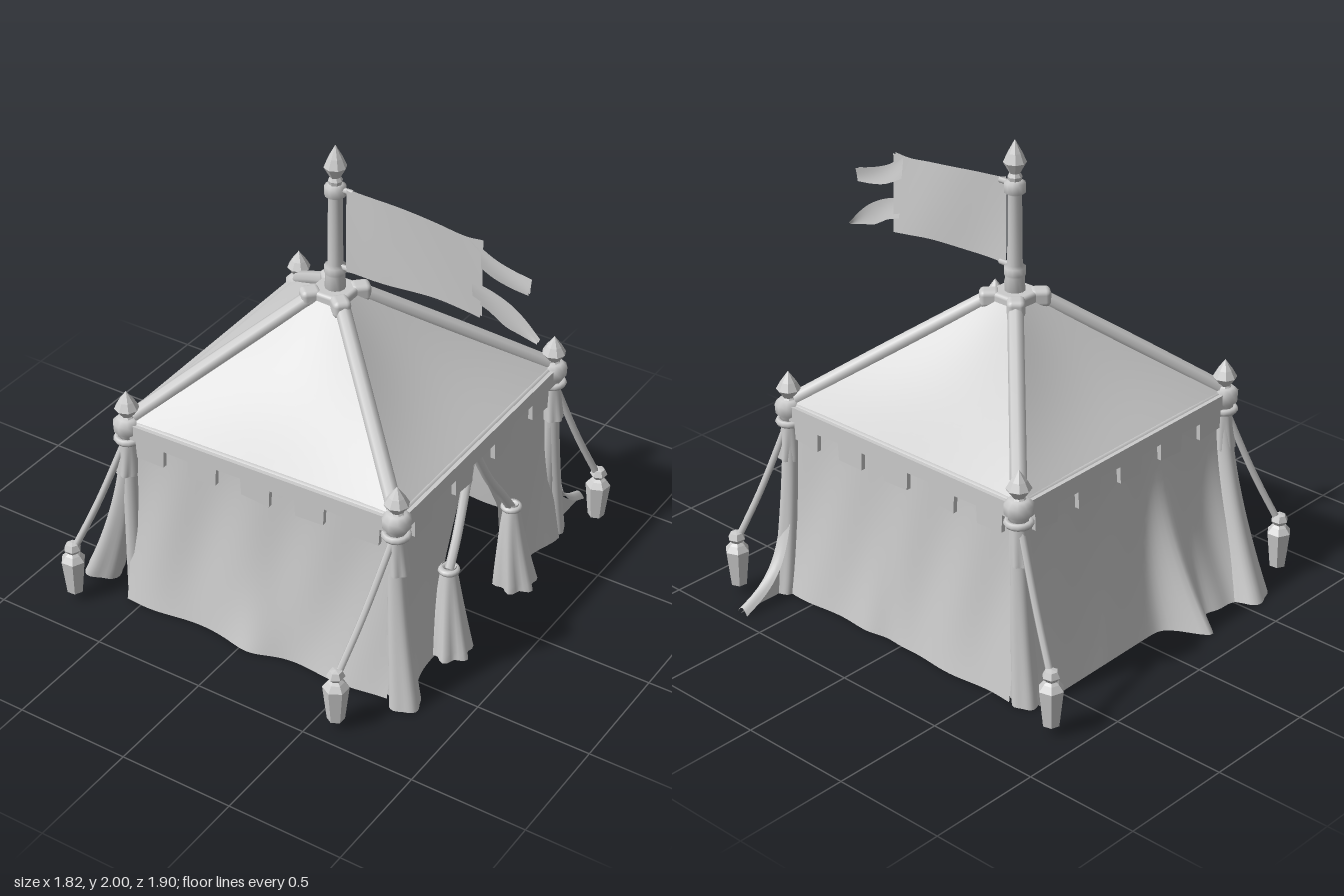
import * as THREE from 'three';
import { RoundedBoxGeometry } from 'three/addons/geometries/RoundedBoxGeometry.js';

const GREY = new THREE.MeshStandardMaterial({ color: 0xcccccc });
const CLOTH = new THREE.MeshStandardMaterial({ color: 0xcccccc, side: THREE.DoubleSide });
const FACETED = new THREE.MeshStandardMaterial({ color: 0xcccccc, flatShading: true });
const V = (x, y, z) => new THREE.Vector3(x, y, z);
const lerp = THREE.MathUtils.lerp;
const bump = (u, c, w) => Math.exp(-(((u - c) / w) ** 2));

// corner posts (x, z), starting at the front of the doorway side
const CORNERS = [[0.67, 0.6], [0.66, -0.64], [-0.6, -0.63], [-0.575, 0.645]];
const EAVE = 0.86;

function add(parent, name, geometry, material = GREY) {
  const mesh = new THREE.Mesh(geometry, material);
  mesh.name = name;
  parent.add(mesh);
  return mesh;
}

// smooth grid surface from point(u, v), u and v in 0..1
function sheet(point, nu, nv) {
  const pos = [], index = [];
  for (let j = 0; j <= nv; j++)
    for (let i = 0; i <= nu; i++) pos.push(...point(i / nu, j / nv).toArray());
  for (let j = 0; j < nv; j++)
    for (let i = 0; i < nu; i++) {
      const a = j * (nu + 1) + i, b = a + nu + 1;
      index.push(a, b, a + 1, b, b + 1, a + 1);
    }
  const g = new THREE.BufferGeometry();
  g.setAttribute('position', new THREE.Float32BufferAttribute(pos, 3));
  g.setIndex(index);
  g.computeVertexNormals();
  return g;
}

const lathe = (pts, n) => new THREE.LatheGeometry(pts.map(p => new THREE.Vector2(...p)), n);
const tube = (pts, r, n = 12, sides = 7) =>
  new THREE.TubeGeometry(new THREE.CatmullRomCurve3(pts), n, r, sides);

// gathered cloth: pleated tube from top to foot, radius given by r(t)
const gathered = (top, foot, r, folds, depth = 0.1) => sheet((u, t) => {
  const a = -u * Math.PI * 2, k = t ** 1.6;
  const rad = r(t) * (1 + depth * t * Math.sin(folds * a));
  return V(lerp(top.x, foot.x, k) + rad * Math.cos(a), lerp(top.y, foot.y, t),
    lerp(top.z, foot.z, k) + rad * Math.sin(a));
}, 32, 12);

// start, direction, outward normal and length of one side
function side(i) {
  const [ax, az] = CORNERS[i], [bx, bz] = CORNERS[(i + 1) % 4];
  const d = V(bx - ax, 0, bz - az), length = d.length();
  d.normalize();
  return { a: V(ax, 0, az), b: V(bx, 0, bz), d, out: V(-d.z, 0, d.x), length };
}

// how far the hem of each side swings outwards
const FLARE = [
  u => 0.04 + 0.05 * bump(u, 0, 0.1) + 0.05 * bump(u, 1, 0.1),
  u => 0.07 + 0.008 * Math.sin(u * 19) - 0.02 * bump(u, 0.45, 0.06),
  u => 0.12 + 0.18 * bump(u, 0.68, 0.055) + 0.08 * bump(u, 0.82, 0.08) + 0.17 * bump(u, 0.97, 0.08),
  u => 0.08 + 0.01 * Math.sin(u * 17) + 0.025 * bump(u, 0.5, 0.08),
];

// point on a wall, u along the side and t from eave to ground
function wallPoint(i, s, u, t) {
  const crease = 0.006 * Math.sin(u * 23 + i + t * 3) * Math.sin(Math.PI * t);
  const o = -0.015 + FLARE[i](u) * t ** 2 + crease;
  return s.a.clone().addScaledVector(s.d, u * s.length).addScaledVector(s.out, o).setY(EAVE * (1 - t));
}

// half width of the doorway at height y
const doorGap = y => (y > 0.4
  ? 0.225 * (Math.max(0, 0.81 - y) / 0.41) ** 1.15
  : 0.225 + 0.05 * (0.4 - y));

function buildSide(tent, i) {
  const s = side(i), L = s.length;
  if (i === 0) {
    // doorway side: two panels drawn back from the middle
    const mid = s.a.z / L;
    for (const m of [1, -1])
      add(tent, 'doorPanel', sheet((u, t) => {
        const edge = mid - m * doorGap(EAVE * (1 - t)) / L;
        return wallPoint(0, s, lerp(m > 0 ? 0 : 1, edge, u), t);
      }, 16, 20), CLOTH);
  } else {
    add(tent, 'wall', sheet((u, t) => wallPoint(i, s, u, t), 64, 18), CLOTH);
  }

  // battlemented valance, with a gap over the doorway
  const n = i === 0 ? 4 : 5, step = L / n, shape = new THREE.Shape();
  shape.moveTo(0, EAVE + 0.01);
  shape.lineTo(0, 0.8);
  for (let k = 0; k < n; k++) {
    const x0 = (k + 0.5) * step - 0.068, x1 = x0 + 0.136, sag = 0.006 * Math.sin(k * 2.3 + i);
    shape.lineTo(x0, 0.8 + sag);
    shape.lineTo(x0 + 0.004, 0.725 + sag);
    shape.lineTo(x1 - 0.004, 0.722 - sag);
    shape.lineTo(x1, 0.8 - sag);
  }
  shape.lineTo(L, 0.8);
  shape.lineTo(L, EAVE + 0.01);
  const valance = add(tent, 'valance', new THREE.ExtrudeGeometry(shape, { depth: 0.02, bevelEnabled: false }));
  const origin = s.a.clone().addScaledVector(s.out, 0.01);
  valance.applyMatrix4(new THREE.Matrix4().makeBasis(s.d, V(0, 1, 0), s.out).setPosition(origin));

  // eave cord and slightly sagging roof panel
  add(tent, 'eaveCord', tube([s.a.clone().setY(EAVE), s.b.clone().setY(EAVE)], 0.016, 2));
  add(tent, 'roofPanel', sheet((u, v) => {
    const p = s.a.clone().lerp(s.b, u).addScaledVector(s.out, 0.015).multiplyScalar(1 - v * 0.9);
    const sag = Math.sin(Math.PI * v) * (0.006 + 0.03 * Math.sin(Math.PI * u));
    return p.setY(lerp(EAVE + 0.005, 1.345, v) - sag);
  }, 20, 14), CLOTH);
}

const FINIAL = [[0, 0], [0.026, 0.005], [0.03, 0.025], [0.022, 0.04], [0.047, 0.085], [0.03, 0.125], [0, 0.18]];

// foot of the draped cloth with its radius, and the rope weight, for each corner
const FEET = [[0.745, 0.635, 0.065], [0.68, -0.69, 0.05], [-0.65, -0.64, 0.055], [-0.78, 0.59, 0.085]];
const WEIGHTS = [[0.59, 0.9], [0.81, -0.83], [-0.86, -0.73], [-0.76, 0.82]];

function buildCorner(tent, i) {
  const [x, z] = CORNERS[i], [fx, fz, fr] = FEET[i], [wx, wz] = WEIGHTS[i];
  // hip rib and its knob at the crown
  add(tent, 'hipRib', tube([V(x * 0.97, 0.885, z * 0.97), V(x * 0.55, 1.105, z * 0.55), V(x * 0.12, 1.325, z * 0.12)], 0.033, 10, 8));
  const knob = add(tent, 'crownKnob', new RoundedBoxGeometry(0.075, 0.075, 0.085, 2, 0.022));
  knob.position.set(Math.sign(x) * 0.072, 1.328, Math.sign(z) * 0.072);
  knob.rotation.y = Math.atan2(x, z);
  // post with its cap and finial
  add(tent, 'post', new THREE.CylinderGeometry(0.03, 0.035, 0.85, 10)).position.set(x, 0.425, z);
  add(tent, 'postCap', lathe([[0, 0.77], [0.04, 0.775], [0.042, 0.81], [0.058, 0.825], [0.06, 0.865], [0.04, 0.885], [0, 0.89]], 10)).position.set(x, 0, z);
  const tip = add(tent, 'postFinial', lathe(FINIAL, 8), FACETED);
  tip.position.set(x, 0.86, z);
  tip.scale.set(1.1, 0.83, 1.1);
  // hanging tassel and draped corner cloth
  add(tent, 'tassel', gathered(V(x, 0.79, z), V(x + 0.01 * Math.sign(x), 0.61, z), t => 0.035 + 0.01 * t, 6), CLOTH);
  add(tent, 'cornerDrape', gathered(V(x, 0.78, z), V(fx, 0, fz), t => lerp(0.034, fr, t ** 1.5), 4), CLOTH);
  // guy rope with a hanging weight
  const top = V(x, 0.8, z), end = V(wx, 0.24, wz);
  const mid = top.clone().lerp(end, 0.55).setY(0.47);
  add(tent, 'guyRope', tube([top, mid, end], 0.015, 10, 6));
  const loop = add(tent, 'ropeLoop', new THREE.TorusGeometry(0.046, 0.015, 6, 14));
  loop.rotation.x = Math.PI / 2;
  loop.position.set(x, 0.785, z);
  const weight = add(tent, 'ropeWeight', lathe([[0, 0.035], [0.036, 0.04], [0.054, 0.2], [0.034, 0.225], [0.022, 0.235], [0.038, 0.255], [0.026, 0.28], [0, 0.285]], 6), FACETED);
  weight.position.set(wx, 0, wz);
  weight.rotation.y = i * 0.9;
}

// tied door curtain, m = +1 or -1 in z
function buildCurtain(tent, m) {
  add(tent, 'curtainSwag', tube([V(0.655, 0.8, m * 0.01), V(0.675, 0.62, m * 0.1), V(0.695, 0.5, m * 0.18), V(0.705, 0.4, m * 0.245)], 0.02));
  add(tent, 'curtainTail', gathered(V(0.705, 0.42, m * 0.25), V(0.73, 0.01, m * 0.265), t => 0.03 + 0.055 * t ** 0.9, 6, 0.16), CLOTH);
  const tie = add(tent, 'curtainTie', new THREE.TorusGeometry(0.032, 0.014, 8, 16));
  tie.rotation.x = Math.PI / 2;
  tie.position.set(0.705, 0.4, m * 0.25);
}

// both faces of a ribbon of cloth along x: [x, yLow, yHigh] stations, rippling in z
function ribbon(stations) {
  const low = new THREE.CatmullRomCurve3(stations.map(([x, y]) => V(x, y, 0)));
  const high = new THREE.CatmullRomCurve3(stations.map(([x, , y]) => V(x, y, 0)));
  return [0.007, -0.007].map(offset => sheet((u, v) => {
    const p = low.getPoint(u).lerp(high.getPoint(u), v);
    return p.setZ(0.002 + 0.007 * Math.sin(p.x * 9 + v * 2) - 0.05 * Math.max(0, p.x - 0.2) + offset);
  }, 24, 8));
}

export function createModel() {
  const tent = new THREE.Group();
  tent.name = 'tent';
  for (let i = 0; i < 4; i++) {
    buildSide(tent, i);
    buildCorner(tent, i);
  }
  buildCurtain(tent, 1);
  buildCurtain(tent, -1);

  // hem swept out behind the doorway side
  const sweep = t => -0.63 - 0.14 * t ** 1.5 - 0.18 * t ** 9;
  add(tent, 'sweptHem', sheet((u, t) => V(lerp(0.64, 0.7, u) - 0.01 * t,
    0.72 * (1 - t) + 0.03 * t * Math.sin(Math.PI * u), sweep(t)), 6, 24), CLOTH);
  add(tent, 'hemGore', sheet((u, t) => V(0.67, 0.72 * (1 - t), lerp(-0.62, sweep(t), u)), 4, 24), CLOTH);

  // crown, pole and top finial
  add(tent, 'crown', new RoundedBoxGeometry(0.17, 0.06, 0.17, 2, 0.015)).position.y = 1.33;
  add(tent, 'pole', lathe([[0, 1.3], [0.045, 1.33], [0.04, 1.42], [0.045, 1.43], [0.045, 1.46], [0.032, 1.47], [0.029, 1.77], [0.044, 1.78], [0.044, 1.82], [0.025, 1.83], [0, 1.835]], 12));
  add(tent, 'poleFinial', lathe(FINIAL, 8), FACETED).position.y = 1.82;

  // flag with two torn tails
  const flag = new THREE.Group();
  flag.name = 'flag';
  tent.add(flag);
  const pieces = [
    [[0.06, 1.45, 1.825], [0.07, 1.455, 1.82], [0.25, 1.455, 1.805], [0.45, 1.455, 1.785], [0.58, 1.44, 1.77], [0.655, 1.43, 1.775]],
    [[0.6, 1.68, 1.77], [0.7, 1.63, 1.71], [0.78, 1.61, 1.68], [0.86, 1.6, 1.66]],
    [[0.62, 1.5, 1.58], [0.69, 1.475, 1.565], [0.77, 1.43, 1.53], [0.83, 1.415, 1.485], [0.905, 1.395, 1.405]],
  ];
  pieces.forEach((p, k) => ribbon(p).forEach(g => add(flag, k ? 'flagTail' : 'flagCloth', g, CLOTH)));
  for (const y of [1.46, 1.81])
    add(flag, 'flagTie', tube([V(0.02, y, 0), V(0.08, y, 0)], 0.012, 2, 6));
  return tent;
}
